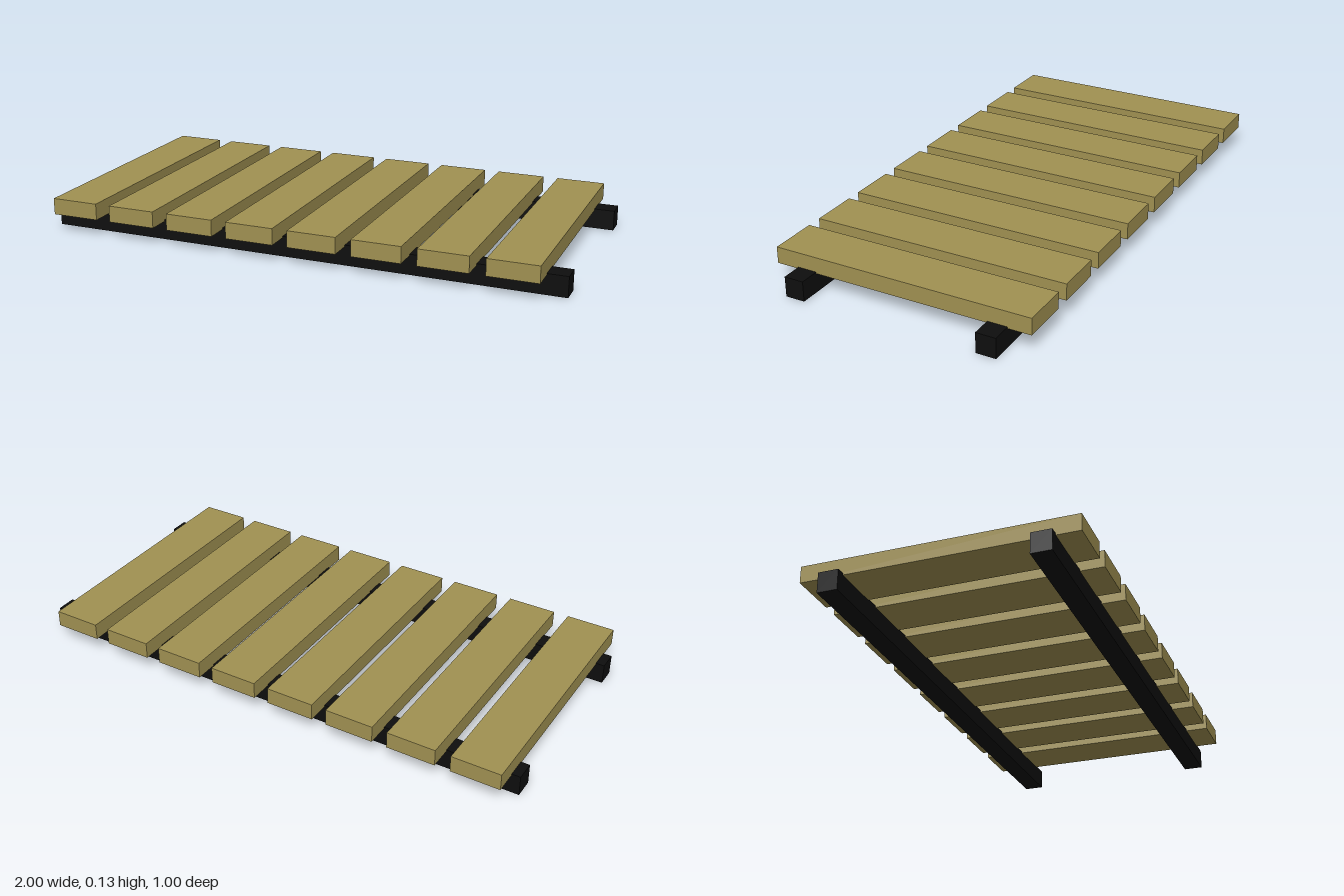
import * as THREE from 'three';

export function createModel() {
  const model = new THREE.Group();
  model.name = 'slattedPlatform';

  const wood = new THREE.MeshStandardMaterial({ name: 'olive wood', color: 0xa09152 });
  const black = new THREE.MeshStandardMaterial({ name: 'black rail', color: 0x0e0e0e });

  const addBox = (name, size, position, material) => {
    const mesh = new THREE.Mesh(new THREE.BoxGeometry(...size), material);
    mesh.name = name;
    mesh.position.set(...position);
    model.add(mesh);
  };

  // Two long rails the slats rest on
  for (const [name, side] of [['frontRail', 1], ['backRail', -1]]) {
    addBox(name, [2, 0.077, 0.075], [0, 0.0385, side * 0.375], black);
  }

  // Eight evenly spaced slats, sunk slightly into the rails
  const pitch = 0.2435;
  for (let i = 0; i < 8; i++) {
    addBox(`slat${i + 1}`, [0.186, 0.063, 1], [-0.874 + i * pitch, 0.1025, 0], wood);
  }

  return model;
}
